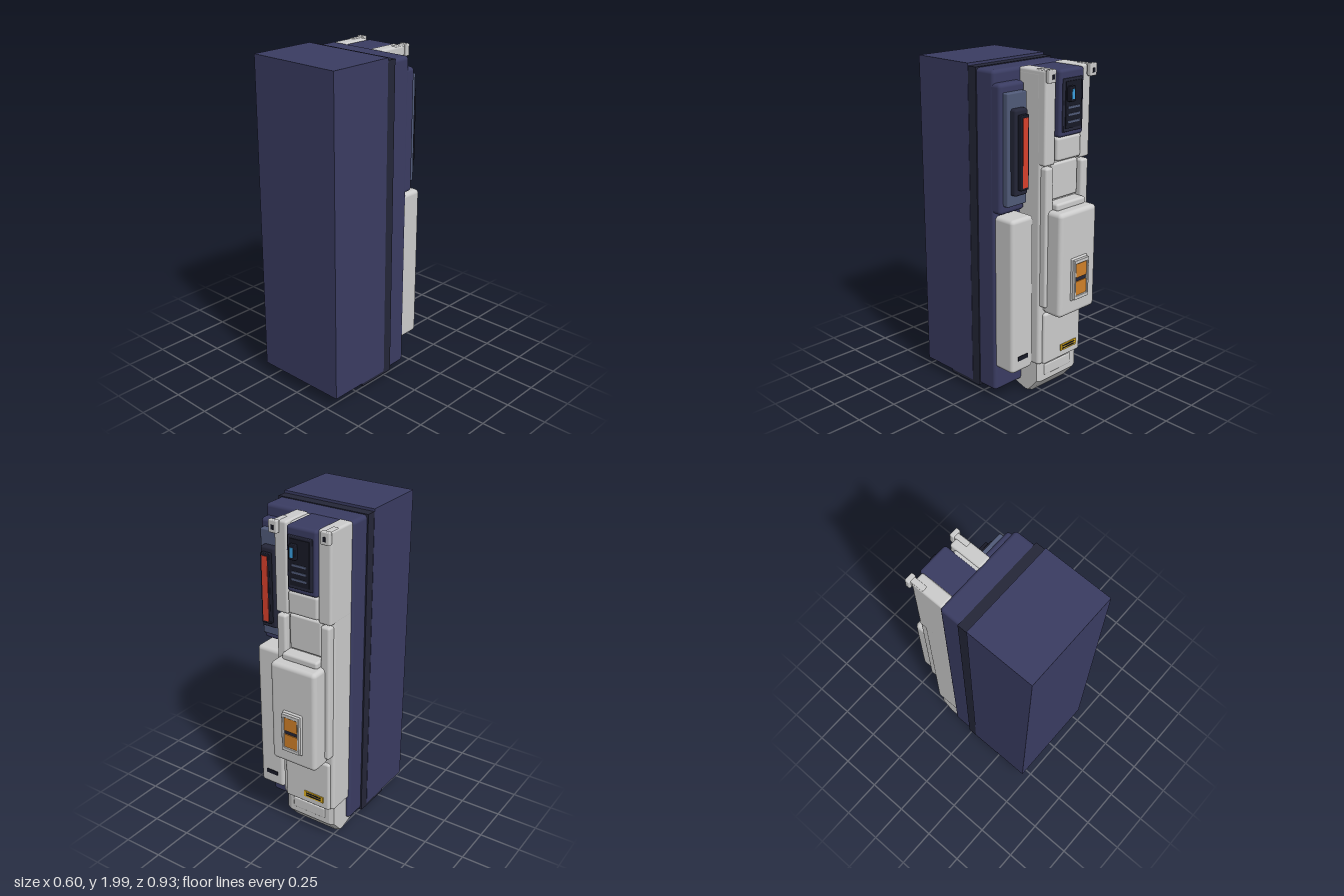
import * as THREE from 'three';
import { RoundedBoxGeometry } from 'three/addons/geometries/RoundedBoxGeometry.js';

const mat = (color) => new THREE.MeshStandardMaterial({ color });

export function createModel() {
  const group = new THREE.Group();
  const grey = mat(0xcccccc), navy = mat(0x3a3c62), dark = mat(0x242638), slate = mat(0x505a78);
  const black = mat(0x171926), orange = mat(0xd08028), red = mat(0xd8402c);
  const blue = mat(0x3aa0e0), yellow = mat(0xe0b020);

  const add = (name, geometry, material) => {
    const mesh = new THREE.Mesh(geometry, material);
    mesh.name = name;
    group.add(mesh);
    return mesh;
  };
  // Box between two limits on each axis, with rounded edges when r > 0
  const box = (name, [x0, x1], [y0, y1], [z0, z1], material, r = 0) => {
    const size = [x1 - x0, y1 - y0, z1 - z0];
    const geometry = r > 0 ? new RoundedBoxGeometry(...size, 3, r) : new THREE.BoxGeometry(...size);
    return add(name, geometry, material).position.set((x0 + x1) / 2, (y0 + y1) / 2, (z0 + z1) / 2);
  };
  const MID = -0.0975; // centre line of the equipment column

  // Main cabinet with dark seam and bottom plate
  box('cabinet', [-0.3, 0.296], [0.075, 2], [0.05, 0.466], navy);
  box('seam', [-0.298, 0.294], [0.06, 1.985], [-0.01, 0.052], dark);
  box('bottomPlate', [-0.298, 0.294], [0.056, 0.08], [0, 0.24], dark);
  box('backShell', [-0.29, 0.287], [0.066, 1.98], [-0.14, 0.03], navy, 0.022);

  // White equipment column and its rails
  box('column', [-0.28, 0.086], [0.22, 1.97], [-0.3, -0.12], grey, 0.02);
  for (const s of [-1, 1]) {
    const span = (a, b) => [Math.min(MID + s * a, MID + s * b), Math.max(MID + s * a, MID + s * b)];
    box('upperRail', span(0.1, 0.183), [1.45, 1.98], [-0.335, -0.13], grey, 0.014);
    box('lowerRail', span(0.115, 0.175), [0.6, 1.44], [-0.34, -0.2], grey, 0.014);
    // Top latch with side cheek and pin
    box('latchArm', span(0.145, 0.178), [1.92, 1.983], [-0.35, -0.26], grey, 0.006);
    box('latchHead', span(0.138, 0.193), [1.915, 1.986], [-0.37, -0.342], grey, 0.006);
    box('latchPin', span(0.155, 0.172), [1.935, 1.96], [-0.374, -0.36], black);
  }

  // Navy control unit with screen at the top
  box('controlUnit', [-0.203, -0.008], [1.6, 1.974], [-0.355, -0.12], navy, 0.018);
  box('screenFrame', [-0.18, -0.025], [1.63, 1.925], [-0.364, -0.34], dark, 0.005);
  box('screen', [-0.165, -0.04], [1.65, 1.91], [-0.369, -0.35], black);
  box('lampHousing', [-0.092, -0.05], [1.8, 1.885], [-0.392, -0.36], black, 0.005);
  box('blueLamp', [-0.08, -0.062], [1.815, 1.87], [-0.395, -0.38], blue);
  for (const y of [1.68, 1.72, 1.76]) {
    box('screenSlot', [-0.15, -0.055], [y, y + 0.012], [-0.373, -0.36], slate);
  }

  // Middle blocks beneath the control unit
  box('upperBlock', [-0.2, -0.005], [1.465, 1.6], [-0.345, -0.2], grey, 0.016);
  box('recessPanel', [-0.205, 0.005], [1.24, 1.45], [-0.318, -0.2], grey, 0.012);
  box('ridge', [-0.215, 0.022], [1.185, 1.23], [-0.375, -0.2], grey, 0.014);

  // Large central pod with badge
  box('backPlate', [-0.235, 0.05], [0.565, 1.185], [-0.345, -0.22], grey, 0.014);
  box('centralPod', [-0.245, 0.06], [0.56, 1.192], [-0.438, -0.3], grey, 0.026);
  box('badgeBase', [-0.16, -0.03], [0.65, 0.91], [-0.45, -0.42], grey, 0.006);
  for (const x of [-0.154, -0.047]) box('badgeSide', [x, x + 0.013], [0.66, 0.902], [-0.468, -0.44], grey, 0.004);
  for (const y of [0.66, 0.88]) box('badgeEnd', [-0.154, -0.034], [y, y + 0.022], [-0.468, -0.44], grey, 0.004);
  box('badgeInset', [-0.142, -0.046], [0.68, 0.882], [-0.456, -0.44], dark);
  for (const y of [0.685, 0.793]) box('badgeLight', [-0.138, -0.05], [y, y + 0.084], [-0.462, -0.44], orange);

  // Lower cover with hazard tag
  box('lowerCover', [-0.26, 0.055], [0.222, 0.55], [-0.318, -0.2], grey, 0.016);
  box('hazardTag', [-0.22, -0.085], [0.268, 0.308], [-0.324, -0.31], yellow);
  for (const y of [0.277, 0.292]) box('tagStripe', [-0.205, -0.1], [y, y + 0.008], [-0.326, -0.32], black);

  // Pointed foot: side profile extruded across the column
  const foot = new THREE.Shape([
    [0.02, 0.065], [0.18, 0.018], [0.205, 0.022], [0.272, 0.1], [0.272, 0.235], [0.02, 0.235],
  ].map(([z, y]) => new THREE.Vector2(z, y)));
  const footGeometry = new THREE.ExtrudeGeometry(foot, {
    depth: 0.28, bevelThickness: 0.03, bevelSize: 0.012, bevelSegments: 1,
  });
  footGeometry.rotateY(Math.PI / 2).translate(MID - 0.14, 0, 0);
  add('foot', footGeometry, grey);
  box('footPanel', [-0.21, 0.02], [0.13, 0.2], [-0.29, -0.26], grey, 0.008);

  // Side light unit: stepped panels with a red strip
  box('lightMount', [0.095, 0.286], [1.18, 1.912], [-0.19, -0.1], navy, 0.022);
  box('lightBase', [0.117, 0.264], [1.23, 1.865], [-0.225, -0.17], slate, 0.008);
  box('lightHousing', [0.143, 0.24], [1.295, 1.78], [-0.262, -0.2], dark, 0.014);
  box('lightBezel', [0.16, 0.221], [1.33, 1.75], [-0.287, -0.24], black, 0.005);
  box('redStrip', [0.172, 0.209], [1.345, 1.735], [-0.29, -0.27], red);

  // Side pod below the light
  box('sidePod', [0.105, 0.276], [0.22, 1.165], [-0.274, -0.12], grey, 0.024);
  box('sidePodSlot', [0.15, 0.23], [0.295, 0.322], [-0.278, -0.26], black);

  return group;
}
